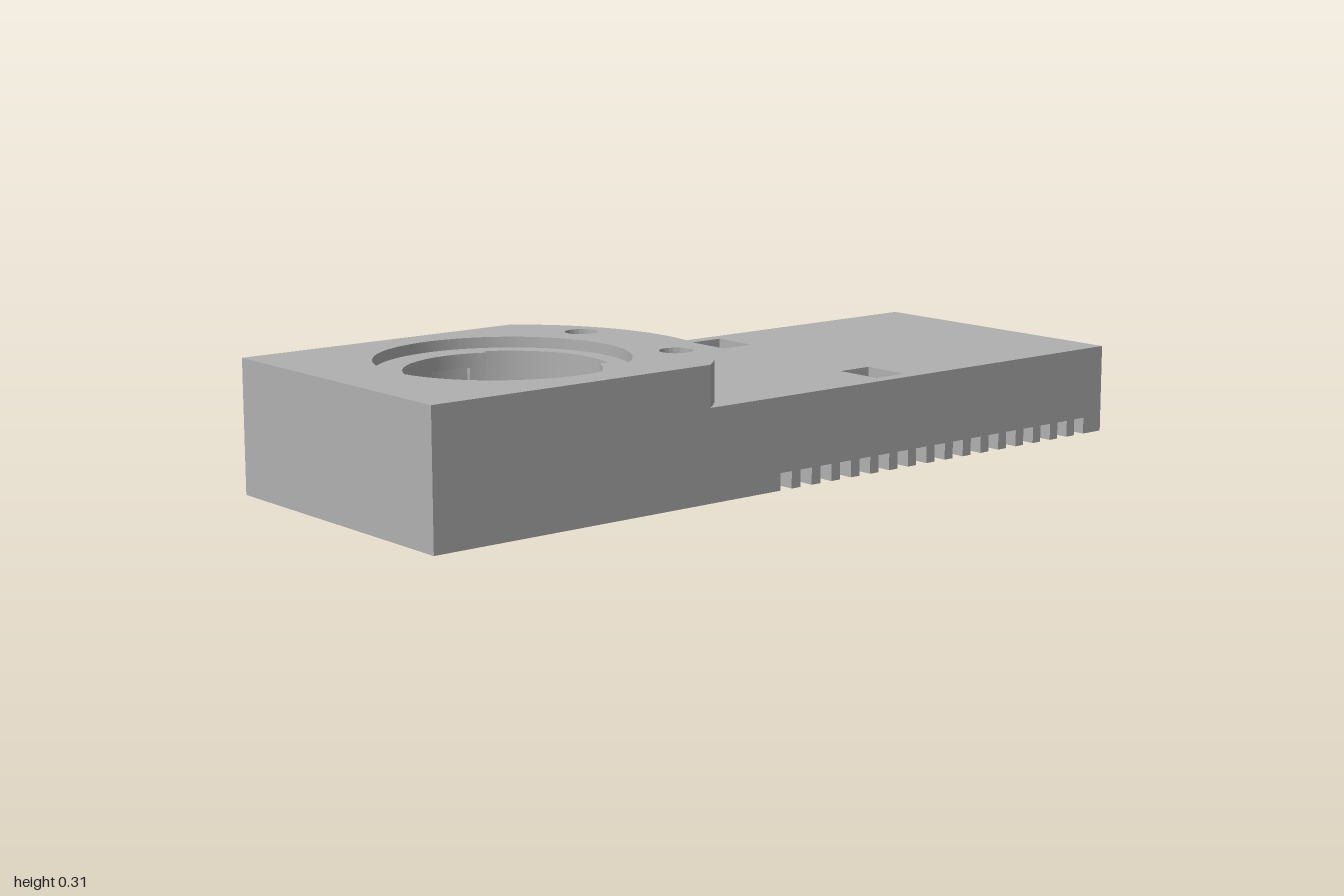
import * as THREE from 'three';
import { toCreasedNormals } from 'three/addons/utils/BufferGeometryUtils.js';

// Plan outlines use (x, -z); side outlines use (-z, y).
const W = 0.365, L = 1, T = 0.06;                 // half width, half length, wall thickness
const IW = W - T, IL = L - T;
const DECK = 0.213, TOP = 0.308, CEIL = 0.08;     // main heights
const LEDGE = 0.12, LIP0 = 0.25, LIP1 = 0.283;    // socket heights
const CW = -0.56;                                 // socket centre along the plan
const BORE = 0.22, SLOT = 0.24, RING = 0.285, ARC = 0.465;
const NOTCHES = 17, PITCH = 0.0607, NOTCH_W = 0.034, NOTCH_H = 0.04, NOTCH_START = -0.067;

const rad = (d) => d * Math.PI / 180;

function arc(r, a, b, cx = 0, cy = CW) {
  const n = Math.max(2, Math.ceil(Math.abs(b - a) / 4)), pts = [];
  for (let i = 0; i <= n; i++) {
    const t = rad(a + (b - a) * i / n);
    pts.push(new THREE.Vector2(cx + r * Math.cos(t), cy + r * Math.sin(t)));
  }
  return pts;
}
const circle = (r, cx, cy) => arc(r, 0, 360, cx, cy).slice(0, -1);
const poly = (...p) => p.map(([x, y]) => new THREE.Vector2(x, y));
const rect = (x0, y0, x1, y1) => poly([x0, y0], [x1, y0], [x1, y1], [x0, y1]);
const sector = (r0, r1, a, b) => [...arc(r1, a, b), ...arc(r0, b, a)];

// Bore outline with two opposite widened sectors
const keyed = (a, b) => [0, 180].flatMap((o) => [...arc(SLOT, a + o, b + o), ...arc(BORE, b + o, a + 180 + o)]);

// Strip following an outline, from depth a to b
function ribbon(pts, a, b, closed = true) {
  const v = [];
  const n = closed ? pts.length : pts.length - 1;
  for (let i = 0; i < n; i++) {
    const p = pts[i], q = pts[(i + 1) % pts.length];
    if (p.distanceTo(q) < 1e-6) continue;
    v.push(p.x, p.y, a, q.x, q.y, a, q.x, q.y, b, p.x, p.y, a, q.x, q.y, b, p.x, p.y, b);
  }
  const g = new THREE.BufferGeometry();
  g.setAttribute('position', new THREE.Float32BufferAttribute(v, 3));
  return toCreasedNormals(g, 0.5);
}

// Flat face at a given depth, with holes
function flat(outline, depth, holes = []) {
  const s = new THREE.Shape(outline);
  s.holes = holes.map((h) => new THREE.Path(h));
  return new THREE.ShapeGeometry(s).translate(0, 0, depth);
}

export function createModel() {
  const model = new THREE.Group();
  const grey = new THREE.MeshStandardMaterial({ color: 0xb0b0b0, side: THREE.DoubleSide });
  grey.name = 'grey';

  const part = (name) => {
    const g = new THREE.Group();
    g.name = name;
    model.add(g);
    const add = (geo) => {
      const m = new THREE.Mesh(geo, grey);
      m.name = name + 'Face';
      g.add(m);
    };
    return {
      plan: (geo) => add(geo.rotateX(-Math.PI / 2)),
      side: (geo) => add(geo.rotateY(Math.PI / 2)),
    };
  };

  const arcEnd = Math.acos(W / ARC) * 180 / Math.PI;
  const blockArc = arc(ARC, arcEnd, 180 - arcEnd);
  const step = blockArc[0].y;

  // Bottom edge of the notched wall, from front to back
  const notches = [];
  for (let i = 0; i < NOTCHES; i++) {
    const u = NOTCH_START + i * PITCH;
    notches.push(poly([u, 0], [u, NOTCH_H], [u + NOTCH_W, NOTCH_H], [u + NOTCH_W, 0]));
  }
  const lastEnd = notches[NOTCHES - 1][3].x;

  // Outer walls
  const walls = part('outerWalls');
  const upper = poly([L, 0], [L, DECK], [step, DECK], [step, TOP], [-L, TOP]);
  walls.side(flat([...poly([-L, 0]), ...notches.flat(), ...upper], W));
  walls.side(flat([...poly([-L, 0]), ...upper], -W));
  walls.plan(ribbon(poly([-W, -L], [W, -L]), 0, TOP, false));
  walls.plan(ribbon(poly([W, L], [-W, L]), 0, DECK, false));

  // Hollow underside
  const under = part('undersideHollow');
  under.plan(ribbon(poly([IW, -IL], [-IW, -IL], [-IW, IL], [IW, IL]), 0, CEIL, false));
  under.side(flat([...poly([-IL, 0]), ...notches.flat(), ...poly([IL, 0], [IL, CEIL], [-IL, CEIL])], IW));
  under.plan(flat(rect(-IW, -IL, IW, IL), CEIL, [circle(RING)]));

  // Bottom rim and the row of teeth on the left wall
  const rim = part('bottomRim');
  rim.plan(flat(poly([-W, -L], [W, -L], [W, NOTCH_START], [IW, NOTCH_START], [IW, -IL], [-IW, -IL],
    [-IW, IL], [IW, IL], [IW, lastEnd], [W, lastEnd], [W, L], [-W, L]), 0));
  const teeth = part('teeth');
  notches.forEach((n, i) => {
    teeth.side(ribbon(n, IW, W, false));
    if (i < NOTCHES - 1) teeth.plan(flat(rect(IW, n[3].x, W, notches[i + 1][0].x), 0));
  });

  // Low deck with two rectangular pockets
  const deck = part('deck');
  const pockets = [-0.27, 0.27].map((x) => rect(x - 0.06, 0.26, x + 0.06, 0.35));
  deck.plan(flat([...blockArc, ...poly([-W, L], [W, L])], DECK, pockets));
  for (const p of pockets) {
    deck.plan(ribbon(p, DECK - 0.035, DECK));
    deck.plan(flat(p, DECK - 0.035));
  }

  // Raised block with a rounded back and two pin holes
  const block = part('raisedBlock');
  const pins = [-0.173, 0.173].map((x) => circle(0.038, x, -0.21));
  block.plan(flat([...blockArc, ...poly([-W, -L], [W, -L])], TOP, [circle(RING), ...pins]));
  block.plan(ribbon(blockArc, DECK, TOP, false));
  for (const p of pins) {
    block.plan(ribbon(p, DECK, TOP));
    block.plan(flat(p, DECK));
  }

  // Twist-lock socket: recess, slotted lip, inner groove and ledge
  const socket = part('socket');
  const lipOutline = keyed(68, 154);
  socket.plan(ribbon(circle(RING), LIP1, TOP));
  socket.plan(flat(circle(RING), LIP1, [lipOutline]));
  socket.plan(ribbon(lipOutline, LIP0, LIP1));
  socket.plan(ribbon(keyed(-16, 154), LEDGE, LIP0));
  for (const o of [0, 180]) {
    socket.plan(flat(sector(BORE, SLOT, -16 + o, 68 + o), LIP0));
    socket.plan(flat(sector(BORE, SLOT, -16 + o, 154 + o), LEDGE));
  }
  socket.plan(ribbon(circle(BORE), 0, LEDGE));

  // Round boss under the socket
  const boss = part('boss');
  boss.plan(ribbon(circle(RING), 0, CEIL));
  boss.plan(flat(circle(RING), 0, [circle(BORE)]));

  return model;
}
